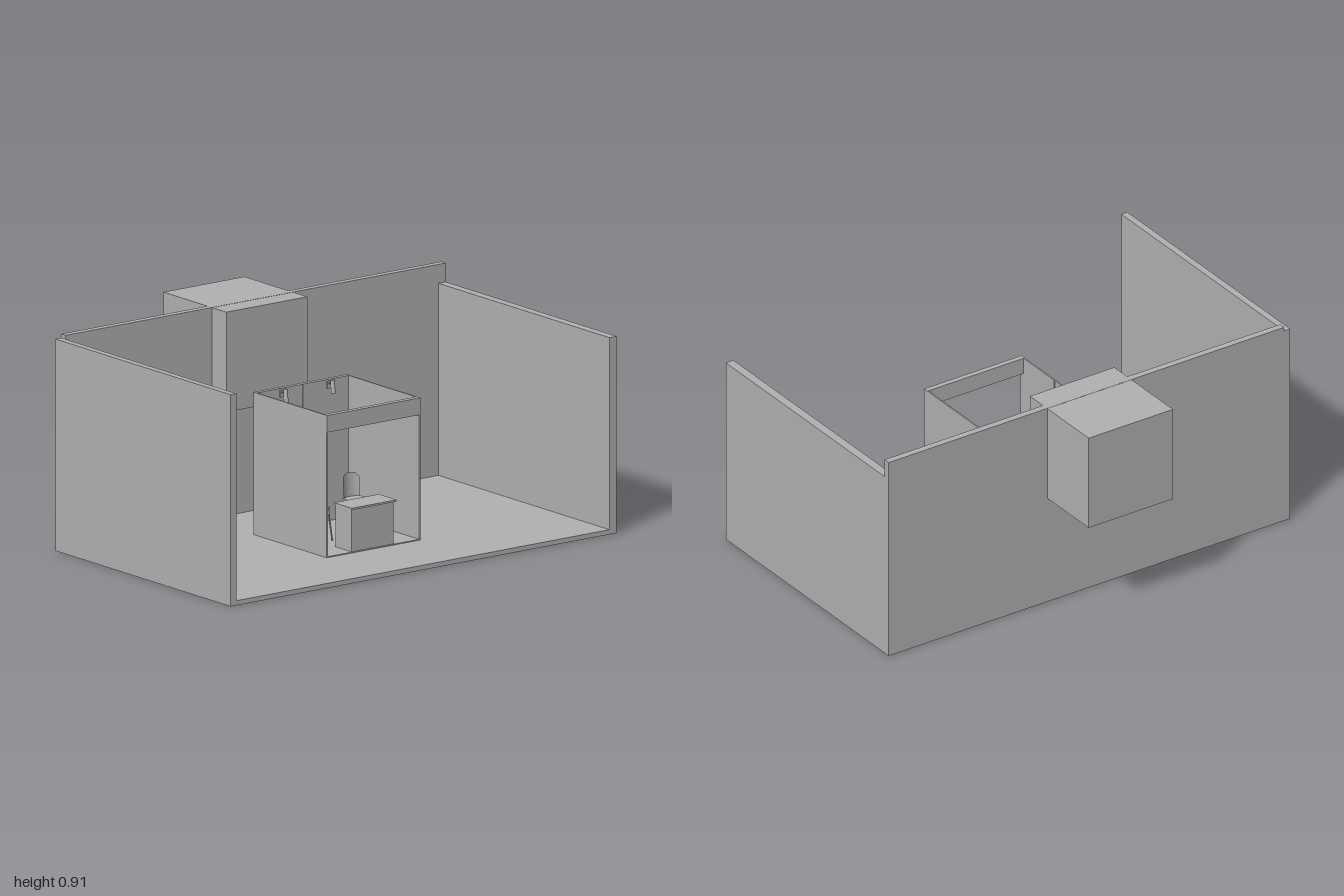
import * as THREE from 'three';

export function createModel() {
  const model = new THREE.Group();
  const grey = new THREE.MeshStandardMaterial({ color: 0xb2b2b2 });
  grey.name = 'plain grey';

  function add(parent, name, geometry) {
    const mesh = new THREE.Mesh(geometry, grey);
    mesh.name = name;
    parent.add(mesh);
    return mesh;
  }
  // Box given by its minimum and maximum corners
  function box(parent, name, x0, x1, y0, y1, z0, z1) {
    const mesh = add(parent, name, new THREE.BoxGeometry(x1 - x0, y1 - y0, z1 - z0));
    mesh.position.set((x0 + x1) / 2, (y0 + y1) / 2, (z0 + z1) / 2);
    return mesh;
  }
  // Thin round bar between two points
  function rod(parent, name, a, b, r0, r1 = r0, sides = 10) {
    const from = new THREE.Vector3(...a), to = new THREE.Vector3(...b);
    const dir = to.clone().sub(from);
    const mesh = add(parent, name, new THREE.CylinderGeometry(r1, r0, dir.length(), sides));
    mesh.position.copy(from).add(to).multiplyScalar(0.5);
    mesh.quaternion.setFromUnitVectors(new THREE.Vector3(0, 1, 0), dir.normalize());
    return mesh;
  }
  function roundedPlate(w, h, r, depth) {
    const s = new THREE.Shape();
    s.moveTo(-w / 2 + r, 0);
    s.lineTo(w / 2 - r, 0);
    s.quadraticCurveTo(w / 2, 0, w / 2, r);
    s.lineTo(w / 2, h - r);
    s.quadraticCurveTo(w / 2, h, w / 2 - r, h);
    s.lineTo(-w / 2 + r, h);
    s.quadraticCurveTo(-w / 2, h, -w / 2, h - r);
    s.lineTo(-w / 2, r);
    s.quadraticCurveTo(-w / 2, 0, -w / 2 + r, 0);
    return new THREE.ExtrudeGeometry(s, { depth, bevelEnabled: false, curveSegments: 6 });
  }

  // Room shell, open on the +x side and the top
  const room = new THREE.Group();
  room.name = 'room';
  model.add(room);
  box(room, 'floor', -0.44, 0.735, 0, 0.02, -1, 1);
  box(room, 'longWall', -0.44, -0.41, 0, 0.912, -1, 0.97);
  box(room, 'frontWall', -0.44, 0.735, 0, 0.895, 0.97, 1);
  box(room, 'rearWall', -0.41, 0.735, 0, 0.832, -1, -0.962);
  box(room, 'wallBlock', -0.738, -0.315, 0.488, 0.911, -0.21, 0.21);

  // Booth: three walls, a header over the open side, panel joints inside
  const booth = new THREE.Group();
  booth.name = 'booth';
  model.add(booth);
  box(booth, 'boothFloor', -0.095, 0.397, 0.004, 0.024, -0.244, 0.241);
  box(booth, 'boothBackWall', -0.095, -0.075, 0.02, 0.622, -0.244, 0.241);
  box(booth, 'boothRearSide', -0.075, 0.397, 0.02, 0.622, -0.244, -0.238);
  box(booth, 'boothFrontSide', -0.075, 0.397, 0.02, 0.622, 0.235, 0.241);
  box(booth, 'header', 0.375, 0.399, 0.55, 0.622, -0.244, 0.241);
  box(booth, 'backJoint', -0.075, -0.072, 0.024, 0.62, -0.004, 0.002);
  box(booth, 'sideJoint', 0.15, 0.156, 0.024, 0.62, 0.232, 0.235);

  // Counter at the open side
  const counter = new THREE.Group();
  counter.name = 'counter';
  model.add(counter);
  box(counter, 'counterBody', 0.285, 0.392, 0.024, 0.202, -0.11, 0.11);
  box(counter, 'counterTop', 0.28, 0.399, 0.202, 0.21, -0.12, 0.113);

  // Two chairs facing the counter
  for (const z of [-0.109, 0.105]) {
    const chair = new THREE.Group();
    chair.name = 'chair';
    chair.position.set(0.147, 0, z);
    model.add(chair);
    const seat = add(chair, 'seat', roundedPlate(0.088, 0.1, 0.02, 0.008));
    seat.rotation.set(-Math.PI / 2, 0, -Math.PI / 2);
    seat.position.set(-0.05, 0.158, 0);
    // Backrest curved around the sitter
    const shell = new THREE.CylinderGeometry(0.075, 0.07, 0.105, 16, 4, true, Math.PI * 1.5 - 0.62, 1.24);
    const p = shell.attributes.position;
    for (let i = 0; i < p.count; i++) {
      const side = Math.abs(p.getZ(i)) / 0.044;
      if (p.getY(i) > 0) p.setY(i, p.getY(i) * (1 - 0.45 * side ** 4));
    }
    shell.computeVertexNormals();
    const inner = shell.clone().scale(0.93, 1, 1);
    inner.setIndex(Array.from(inner.index.array).reverse());
    inner.computeVertexNormals();
    for (const [name, g] of [['backrestOuter', shell], ['backrestInner', inner]]) {
      add(chair, name, g).position.set(0.018, 0.214, 0);
    }
    for (const sx of [-1, 1]) for (const sz of [-1, 1]) {
      rod(chair, 'leg', [sx * 0.048, 0.022, sz * 0.049], [sx * 0.035, 0.16, sz * 0.037], 0.003, 0.004);
    }
  }

  // Two small spotlights on the back wall of the booth
  for (const z of [-0.132, 0.112]) {
    const lamp = new THREE.Group();
    lamp.name = 'spotlight';
    lamp.position.set(-0.075, 0.605, z);
    model.add(lamp);
    box(lamp, 'lampMount', 0, 0.005, -0.02, 0.01, -0.008, 0.008);
    rod(lamp, 'lampArm', [0, 0, 0], [0.028, 0.006, 0], 0.003);
    rod(lamp, 'lampHead', [0.034, -0.035, 0], [0.028, 0.02, 0], 0.01, 0.008, 16);
  }
  return model;
}
